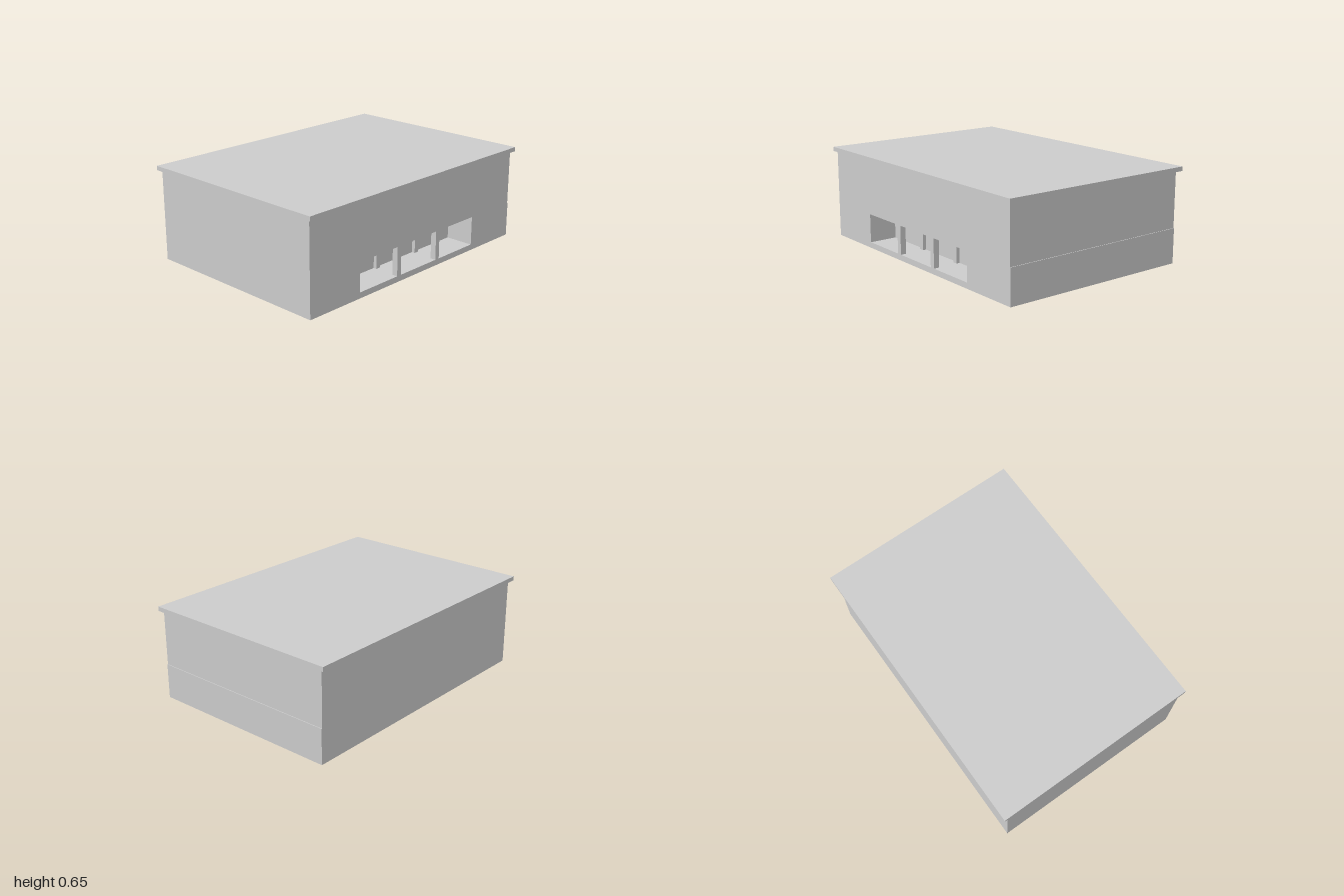
import * as THREE from 'three';

const material = new THREE.MeshStandardMaterial({ color: 0xcccccc });

export function createModel() {
  const model = new THREE.Group();
  const add = (name, geometry) => {
    const mesh = new THREE.Mesh(geometry, material);
    mesh.name = name;
    model.add(mesh);
    return mesh;
  };
  // Box given by its limits on each axis
  const box = (name, x0, x1, y0, y1, z0, z1) =>
    add(name, new THREE.BoxGeometry(x1 - x0, y1 - y0, z1 - z0))
      .position.set((x0 + x1) / 2, (y0 + y1) / 2, (z0 + z1) / 2);

  const left = 0.98, right = -0.983, front = 0.69, back = -0.68;
  const sill = 0.04, lintel = 0.24, eaves = 0.62;
  const recessHalf = 0.56, recessBack = front - 0.2;

  // Floor slab
  box('floorSlab', right, left, 0, sill, back, front);

  // Lower storey: solid plan with a recess cut into the front
  const plan = new THREE.Shape([
    [right, -front], [-recessHalf, -front], [-recessHalf, -recessBack],
    [recessHalf, -recessBack], [recessHalf, -front], [left, -front],
    [left, -back], [right, -back],
  ].map(([x, y]) => new THREE.Vector2(x, y)));
  const lower = new THREE.ExtrudeGeometry(plan, { depth: lintel - sill, bevelEnabled: false });
  lower.rotateX(-Math.PI / 2).translate(0, sill, 0);
  add('lowerWalls', lower);

  // Posts dividing the three bays, at the front and against the recess wall
  for (const x of [-0.195, 0.19]) {
    box('frontPost', x - 0.018, x + 0.018, sill, lintel, front - 0.04, front);
    box('rearPost', x - 0.018, x + 0.018, sill, lintel, recessBack, recessBack + 0.023);
  }

  // Upper storey, set in slightly on the left side
  box('upperWalls', right, 0.975, lintel, eaves, back, front);

  // Overhanging flat roof
  box('roof', -1, 1, eaves, 0.65, -0.713, 0.713);

  return model;
}
